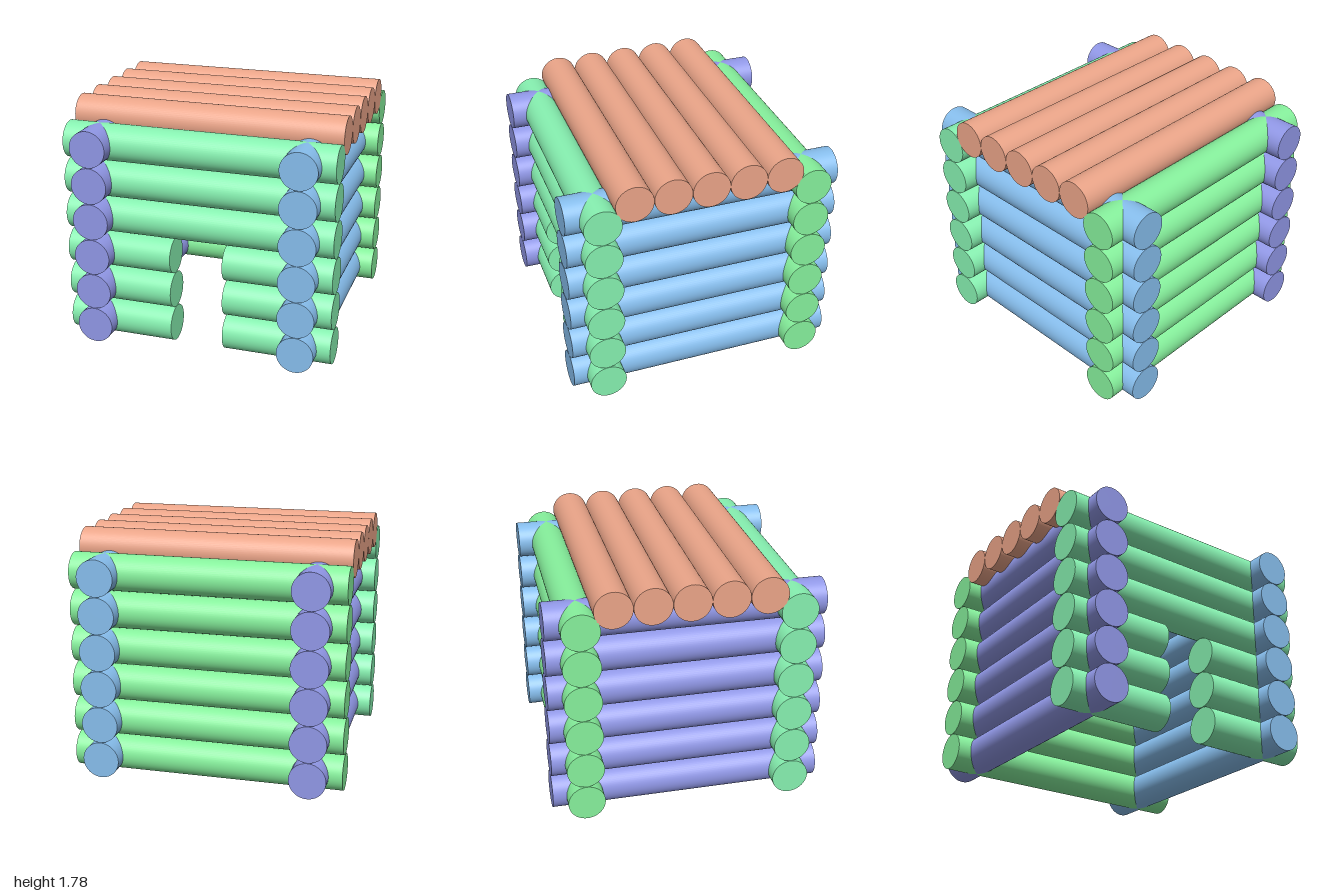
import * as THREE from 'three';

const RADIUS = 0.135;
const PITCH = 0.273;
const FIRST_Y = 0.136;
const ROWS = 6;
const WALL = 0.766; // distance of each wall's log axis from the centre

const material = (color) => new THREE.MeshStandardMaterial({ color });

// Round log lying along the x or z axis, spanning from..to
function log(name, axis, from, to, mat) {
  const geometry = new THREE.CylinderGeometry(RADIUS, RADIUS, to - from, 64);
  if (axis === 'x') geometry.rotateZ(-Math.PI / 2);
  else geometry.rotateX(Math.PI / 2);
  const mesh = new THREE.Mesh(geometry, mat);
  mesh.name = name;
  mesh.position[axis] = (from + to) / 2;
  return mesh;
}

export function createModel() {
  const cabin = new THREE.Group();
  cabin.name = 'logCabin';

  const group = (name) => {
    const g = new THREE.Group();
    g.name = name;
    cabin.add(g);
    return g;
  };
  const frontWall = group('frontWall');
  const backWall = group('backWall');
  const leftWall = group('leftWall');
  const rightWall = group('rightWall');
  const roof = group('roof');

  const frontMat = material(0x86f0b0);
  const backMat = material(0x86f09c);
  const leftMat = material(0x86bdec);
  const rightMat = material(0x9097e6);
  const roofMat = material(0xeaa488);

  frontWall.position.z = WALL;
  backWall.position.z = -WALL;
  leftWall.position.x = WALL;
  rightWall.position.x = -WALL;

  // Stacked wall logs; the three lowest front rows are split by the doorway
  for (let row = 0; row < ROWS; row++) {
    const y = FIRST_Y + row * PITCH;
    const place = (wall, mesh) => {
      mesh.position.y = y;
      wall.add(mesh);
    };
    place(backWall, log('backLog', 'x', -1, 1, backMat));
    place(leftWall, log('leftLog', 'z', -1, 1, leftMat));
    place(rightWall, log('rightLog', 'z', -1, 1, rightMat));
    if (row < 3) {
      place(frontWall, log('doorwayRightLog', 'x', -1, -0.2, frontMat));
      place(frontWall, log('doorwayLeftLog', 'x', 0.195, 1, frontMat));
    } else {
      place(frontWall, log('frontLog', 'x', -1, 1, frontMat));
    }
  }

  // Flat roof of five side-by-side logs
  for (let i = -2; i <= 2; i++) {
    const roofLog = log('roofLog', 'x', -1, 1, roofMat);
    roofLog.position.set(0, 1.643, i * 0.2715);
    roof.add(roofLog);
  }

  return cabin;
}
